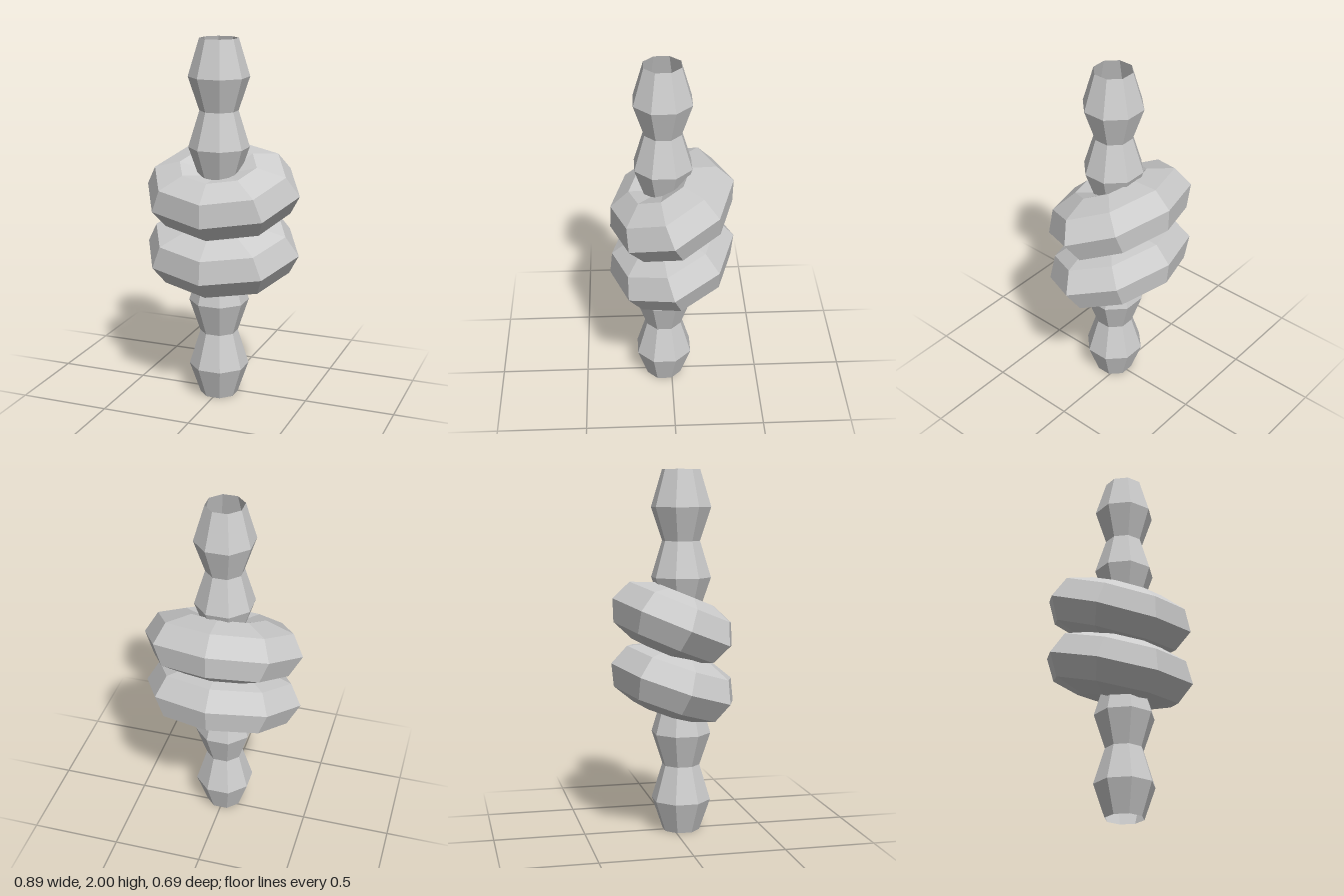
import * as THREE from 'three';

const material = new THREE.MeshStandardMaterial({ color: 0xcccccc, flatShading: true });
const openMaterial = new THREE.MeshStandardMaterial({
  color: 0xcccccc, flatShading: true, side: THREE.DoubleSide,
});

// Open eight-sided tube with two bulges
function createPole(name, y) {
  const profile = [[0.105, 0], [0.166, 0.175], [0.105, 0.373], [0.166, 0.555], [0.105, 0.757]]
    .map(([r, h]) => new THREE.Vector2(r, h));
  const pole = new THREE.Mesh(new THREE.LatheGeometry(profile, 8, Math.PI / 8), openMaterial);
  pole.name = name;
  pole.position.set(0, y, 0.045);
  return pole;
}

// Flattened ring whose hole closes to a point, tipped toward the front
function createRing(name, y, tiltDegrees) {
  const radius = 0.2228;
  const geometry = new THREE.TorusGeometry(radius, radius, 8, 8);
  geometry.rotateX(Math.PI / 2);
  geometry.scale(1, 0.745, 0.815);
  const ring = new THREE.Mesh(geometry, material);
  ring.name = name;
  ring.position.y = y;
  ring.rotation.x = THREE.MathUtils.degToRad(tiltDegrees);
  return ring;
}

export function createModel() {
  const model = new THREE.Group();
  model.name = 'ringedPole';
  model.add(
    createPole('lowerPole', 0),
    createPole('upperPole', 1.243),
    createRing('lowerRing', 0.838, 18.5),
    createRing('upperRing', 1.17, 22.5),
  );
  return model;
}
